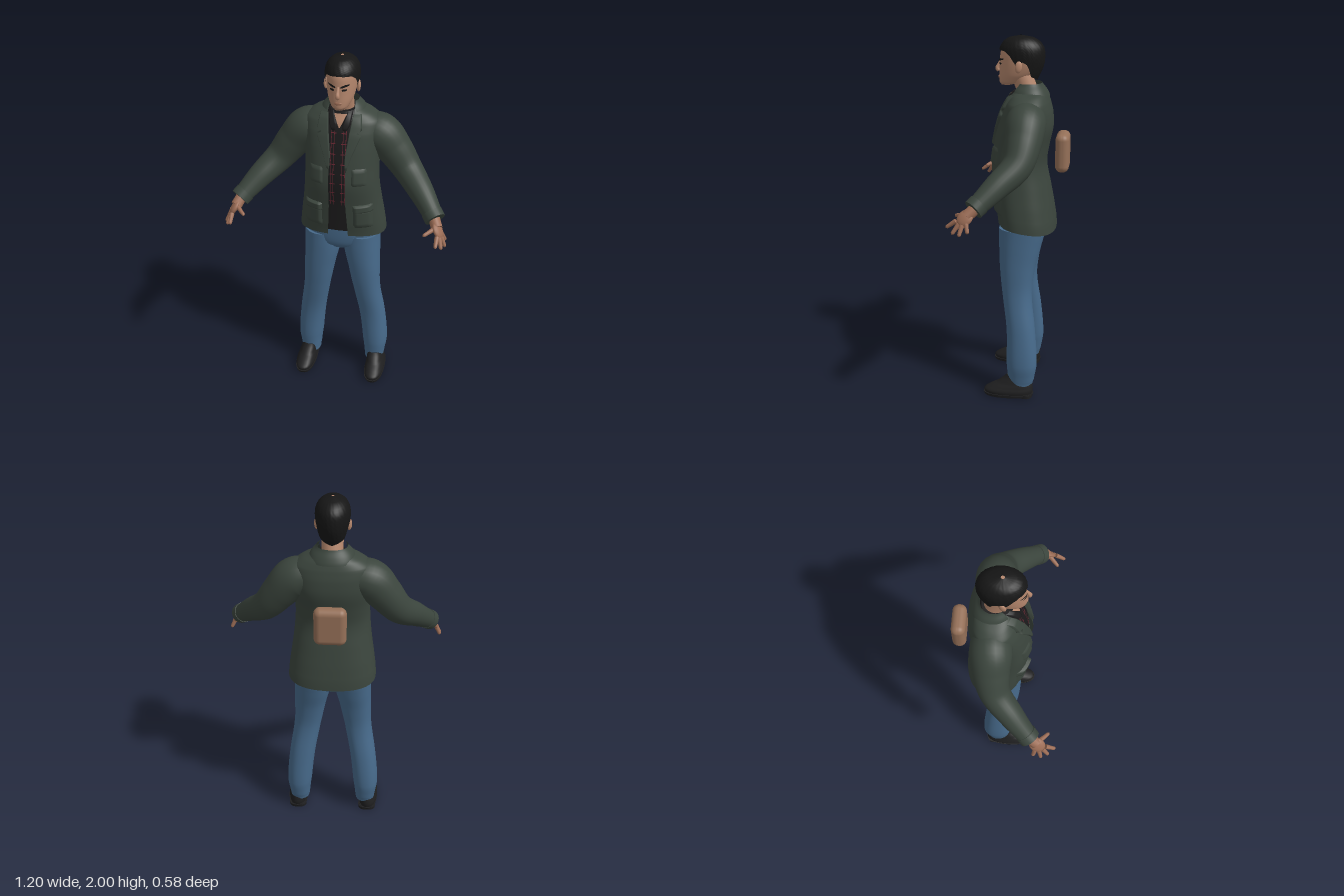
import * as THREE from 'three';
import { RoundedBoxGeometry } from 'three/addons/geometries/RoundedBoxGeometry.js';

const V = (x, y, z) => new THREE.Vector3(x, y, z);
const mat = (name, color, side = THREE.FrontSide) => {
  const m = new THREE.MeshStandardMaterial({ color, side });
  m.name = name;
  return m;
};

// Linear lookup in a table sorted by its first column
function at(rows, k) {
  let i = 0;
  while (i < rows.length - 2 && rows[i + 1][0] < k) i++;
  const a = rows[i], b = rows[i + 1];
  const t = THREE.MathUtils.clamp((k - a[0]) / (b[0] - a[0]), 0, 1);
  return a.map((v, c) => v + (b[c] - v) * t);
}

// Catmull-Rom subdivision of profile rows
function dense(rows, n = 5) {
  const out = [];
  for (let i = 0; i < rows.length - 1; i++) {
    const [p, a, b, q] = [i - 1, i, i + 1, i + 2].map(j => rows[THREE.MathUtils.clamp(j, 0, rows.length - 1)]);
    for (let s = 0; s < n; s++) {
      const t = s / n;
      out.push(a.map((v, c) => {
        if (c === 0) return v + (b[0] - v) * t;
        const k3 = 3 * (v - b[c]) + q[c] - p[c], k2 = 2 * p[c] - 5 * v + 4 * b[c] - q[c];
        return v + 0.5 * t * (b[c] - p[c] + t * (k2 + t * k3));
      }));
    }
  }
  out.push(rows[rows.length - 1]);
  return out;
}

// Surface through rings of points, with flat end caps when closed
function skin(rings, closed = true) {
  const pos = [], idx = [], n = rings[0].length, m = closed ? n : n - 1;
  rings.forEach(r => r.forEach(p => pos.push(p.x, p.y, p.z)));
  for (let i = 0; i < rings.length - 1; i++) for (let j = 0; j < m; j++) {
    const a = i * n + j, b = i * n + (j + 1) % n;
    idx.push(a, b, a + n, b, b + n, a + n);
  }
  if (closed) [rings[0], rings[rings.length - 1]].forEach((r, e) => {
    const s = pos.length / 3, c = V(0, 0, 0);
    r.forEach(p => { pos.push(p.x, p.y, p.z); c.addScaledVector(p, 1 / n); });
    pos.push(c.x, c.y, c.z);
    for (let j = 0; j < n; j++) {
      const k = s + (j + 1) % n;
      idx.push(...(e ? [s + j, k, s + n] : [k, s + j, s + n]));
    }
  });
  const g = new THREE.BufferGeometry();
  g.setAttribute('position', new THREE.Float32BufferAttribute(pos, 3));
  g.setIndex(idx);
  g.computeVertexNormals();
  return g;
}

// Profile row: [y, centre x, half width, front z, back z, half gap]
const pw = (v, e) => Math.sign(v) * Math.abs(v) ** e;
const ringPoint = ([y, cx, rx, f, b], t, e) =>
  V(cx + rx * pw(Math.sin(t), e), y, (f + b) / 2 + (f - b) / 2 * pw(Math.cos(t), e));

const loft = (rows, e = 1, n = 32) => skin(rows.map(r =>
  Array.from({ length: n }, (_, j) => ringPoint(r, j / n * Math.PI * 2, e))));

// Loft left open at the front by the row's gap
const openLoft = (rows, e, n = 56) => skin(rows.map(r => {
  const t0 = Math.asin(Math.min(0.96, (r[5] / r[2]) ** (1 / e)));
  return Array.from({ length: n + 1 }, (_, j) => ringPoint(r, t0 + (2 * Math.PI - 2 * t0) * j / n, e));
}), false);

// Tapered tube; points are [x, y, z, radius]
function limb(pts, n = 20, steps = 24) {
  const curve = new THREE.CatmullRomCurve3(pts.map(p => V(p[0], p[1], p[2])));
  const radii = dense(pts.map((p, i) => [i, p[3]]), 8);
  const rings = [];
  for (let i = 0; i <= steps; i++) {
    const u = i / steps, c = curve.getPoint(u), t = curve.getTangent(u);
    const a = V(0, 0.3, 1).cross(t).normalize(), b = t.clone().cross(a);
    const r = at(radii, u * (pts.length - 1))[1];
    rings.push(Array.from({ length: n }, (_, j) => {
      const w = j / n * Math.PI * 2;
      return c.clone().addScaledVector(a, r * Math.cos(w)).addScaledVector(b, r * Math.sin(w));
    }));
  }
  return skin(rings);
}

// Panel laid on the front of a profile; outline rows are [y, x0, x1], bottom first
function panel(prof, e, outline, off, puffed = false, n = 8) {
  const rings = [], y0 = outline[0][0], y1 = outline[outline.length - 1][0];
  for (let i = 0; i <= n; i++) {
    const [y, xa, xb] = at(outline, y0 + (y1 - y0) * i / n), [, , rx, f, b] = at(prof, y);
    rings.push(Array.from({ length: n + 1 }, (_, j) => {
      const x = Math.min(xa, xb) + Math.abs(xb - xa) * j / n;
      const s = Math.min(0.999, Math.abs(x) / rx) ** (1 / e);
      const edge = i === 0 || j === 0 || i === n || j === n;
      return V(x, y, (f + b) / 2 + (f - b) / 2 * Math.sqrt(1 - s * s) ** e + (puffed && edge ? -0.002 : off));
    }));
  }
  return skin(rings, false);
}

export function createModel() {
  const root = new THREE.Group();
  root.name = 'standingMan';
  const D = THREE.DoubleSide;
  const jacket = mat('jacketGreen', 0x3b453d, D), jeans = mat('denimBlue', 0x476a8b), hair = mat('hairBlack', 0x161616, D);
  const face = mat('faceSkin', 0xb5876d), hand = mat('handSkin', 0x9c6d56), pack = mat('packBrown', 0x957058);
  const shoe = mat('shoeBlack', 0x1f1f20), shirt = mat('shirtBlack', 0x1c1b1c, D), red = mat('plaidRed', 0x6b2833, D);
  const add = (name, geo, m) => {
    const o = new THREE.Mesh(geo, m);
    o.name = name;
    root.add(o);
    return o;
  };

  // Jacket body, hem lower at the back
  const E = 0.82;
  const coat = dense([[0.98, 0, 0.24, 0.095, -0.225, 0.055], [1.06, 0, 0.232, 0.105, -0.215, 0.052],
    [1.2, 0, 0.212, 0.118, -0.188, 0.045], [1.32, 0, 0.2, 0.13, -0.167, 0.045], [1.42, 0, 0.198, 0.118, -0.18, 0.045],
    [1.52, 0, 0.205, 0.098, -0.2, 0.045], [1.6, 0, 0.208, 0.075, -0.196, 0.055], [1.655, 0, 0.2, 0.05, -0.182, 0.065],
    [1.69, 0, 0.155, 0.03, -0.168, 0.07], [1.72, 0, 0.095, 0.012, -0.15, 0.068], [1.735, 0, 0.078, 0.0, -0.135, 0.065]]);
  const body = openLoft(coat, E), bp = body.attributes.position;
  for (let i = 0; i < bp.count; i++)
    bp.setY(i, bp.getY(i) + (bp.getZ(i) + 0.065) * 0.14 * Math.max(0, 1 - (bp.getY(i) - 0.98) / 0.2));
  body.computeVertexNormals();
  add('jacketBody', body, jacket);
  add('jacketCollar', openLoft(dense([[1.685, 0, 0.125, 0.035, -0.18, 0.085], [1.72, 0, 0.108, 0.02, -0.163, 0.075],
    [1.755, 0, 0.08, 0.0, -0.138, 0.066]]), 0.9), jacket);

  // Shirt inside the jacket, with plaid strips
  const top = dense([[1.03, 0, 0.2, 0.092, -0.18], [1.2, 0, 0.19, 0.1, -0.165], [1.32, 0, 0.18, 0.108, -0.15],
    [1.42, 0, 0.178, 0.1, -0.16], [1.52, 0, 0.18, 0.082, -0.18], [1.6, 0, 0.17, 0.062, -0.175],
    [1.66, 0, 0.13, 0.042, -0.155], [1.71, 0, 0.07, 0.016, -0.13]]);
  add('shirt', loft(top, E), shirt);
  add('openNeck', panel(top, E, [[1.635, -0.003, 0.003], [1.7, -0.034, 0.034]], 0.006), face);
  for (const s of [-1, 1]) {
    add('shirtCollar', panel(top, E, [[1.615, s * 0.02, s * 0.035], [1.65, s * 0.012, s * 0.058], [1.71, s * 0.036, s * 0.062]], 0.013, true), shirt);
    for (const x of [0.022, 0.037])
      add('plaidStripe', panel(top, E, [[1.2, s * x, s * (x + 0.003)], [1.62, s * x, s * (x + 0.003)]], 0.003, false, 14), red);
    for (let y = 1.22; y < 1.62; y += 0.055)
      add('plaidBand', panel(top, E, [[y, s * 0.014, s * 0.043], [y + 0.005, s * 0.014, s * 0.043]], 0.004), red);
  }

  // Head, neck, face
  const skull = dense([[1.742, 0, 0.026, 0.08, 0.02], [1.757, 0, 0.046, 0.09, -0.03], [1.79, 0, 0.064, 0.091, -0.08],
    [1.83, 0, 0.074, 0.089, -0.11], [1.87, 0, 0.079, 0.087, -0.125], [1.92, 0, 0.08, 0.081, -0.13],
    [1.96, 0, 0.068, 0.055, -0.112], [1.985, 0, 0.04, 0.01, -0.08]]);
  add('head', loft(skull), face);
  add('neck', limb([[0, 1.64, -0.075, 0.062], [0, 1.71, -0.06, 0.056], [0, 1.79, -0.03, 0.056]]), face);
  add('nose', limb([[0, 1.872, 0.08, 0.007], [0, 1.845, 0.094, 0.009], [0, 1.826, 0.101, 0.012], [0, 1.814, 0.092, 0.01]], 10, 10), face);
  add('lips', panel(skull, 1, [[1.776, -0.012, 0.012], [1.784, -0.024, 0.024], [1.791, -0.01, 0.01]], 0.004, true), hand);
  for (const s of [-1, 1]) {
    add('eye', panel(skull, 1, [[1.85, s * 0.024, s * 0.036], [1.855, s * 0.018, s * 0.045], [1.861, s * 0.024, s * 0.04]], 0.003), hair);
    add('eyebrow', panel(skull, 1, [[1.868, s * 0.012, s * 0.024], [1.876, s * 0.014, s * 0.052], [1.883, s * 0.036, s * 0.056]], 0.004), hair);
    const ear = add('ear', new THREE.SphereGeometry(1, 14, 10), face);
    ear.scale.set(0.011, 0.032, 0.019);
    ear.position.set(s * 0.084, 1.845, -0.022);
    ear.rotation.set(-0.15, s * 0.3, 0);
  }

  // Hair with a hairline that varies around the head
  const cap = dense([[1.76, 0, 0.058, 0.03, -0.108], [1.8, 0, 0.074, 0.06, -0.128], [1.85, 0, 0.083, 0.088, -0.147],
    [1.9, 0, 0.089, 0.09, -0.152], [1.94, 0, 0.086, 0.085, -0.146], [1.97, 0, 0.071, 0.066, -0.124],
    [1.99, 0, 0.046, 0.035, -0.09], [2, 0, 0.008, -0.015, -0.035]]);
  const hairline = [[0, 1.928], [45, 1.922], [62, 1.9], [75, 1.865], [84, 1.83], [94, 1.872], [108, 1.855], [124, 1.79], [180, 1.765]];
  const locks = [];
  for (let i = 0; i <= 20; i++) locks.push(Array.from({ length: 64 }, (_, j) => {
    const t = j / 64 * Math.PI * 2, deg = Math.min(t, 2 * Math.PI - t) * 180 / Math.PI;
    const p = ringPoint(at(cap, THREE.MathUtils.lerp(at(hairline, deg)[1], 2, i / 20)), t, 1);
    const k = 1 + 0.016 * Math.sin(j * 2.4 + i * 1.7) * Math.sin(i * 1.3);
    return V(p.x * k, p.y, (p.z + 0.03) * k - 0.03);
  }));
  const hairGeo = skin(locks);
  hairGeo.setIndex([...hairGeo.index.array].slice(0, 20 * 64 * 6)); // no caps: the head fills it
  add('hair', hairGeo, hair);

  // Hips
  add('jeansHips', loft(dense([[0.885, 0, 0.09, 0.045, -0.13], [0.92, 0, 0.175, 0.075, -0.165], [0.97, 0, 0.212, 0.084, -0.18],
    [1.05, 0, 0.205, 0.086, -0.18], [1.12, 0, 0.19, 0.08, -0.165]]), 0.85), jeans);

  // Mirrored parts: lapels, pockets, sleeves, hands, legs, shoes
  for (const s of [-1, 1]) {
    add('lapel', panel(coat, E, [[1.42, s * 0.042, s * 0.05], [1.5, s * 0.04, s * 0.075], [1.6, s * 0.052, s * 0.118],
      [1.615, s * 0.054, s * 0.092], [1.63, s * 0.056, s * 0.118], [1.7, s * 0.066, s * 0.108]], 0.014, true, 20), jacket);
    add('chestPocket', panel(coat, E, [[1.33, s * 0.075, s * 0.155], [1.43, s * 0.075, s * 0.155]], 0.008, true), jacket);
    add('lowerPocket', panel(coat, E, [[1.06, s * 0.085, s * 0.19], [1.19, s * 0.085, s * 0.185]], 0.012, true), jacket);
    add('pocketFlap', panel(coat, E, [[1.165, s * 0.082, s * 0.19], [1.21, s * 0.082, s * 0.185]], 0.02, true), jacket);
    add('sleeve', limb([[s * 0.11, 1.585, -0.075, 0.095], [s * 0.195, 1.565, -0.072, 0.107], [s * 0.27, 1.485, -0.068, 0.096],
      [s * 0.348, 1.385, -0.045, 0.08], [s * 0.44, 1.3, 0.045, 0.066], [s * 0.528, 1.208, 0.145, 0.05]], 24, 36), jacket);
    add('cuff', limb([[s * 0.507, 1.23, 0.122, 0.056], [s * 0.53, 1.206, 0.148, 0.055]], 24, 4), jacket);

    // Hand: flattened palm, thumb and four fingers, each from knuckle to tip
    add('wrist', limb([[s * 0.52, 1.215, 0.135, 0.03], [s * 0.543, 1.175, 0.18, 0.031]], 12, 4), hand);
    const palm = add('palm', new THREE.SphereGeometry(1, 16, 12), hand);
    const long = V(s * 0.035, -0.07, 0.06).normalize(), out = long.clone().cross(V(s * -0.045, 0.025, 0.12)).normalize();
    palm.quaternion.setFromRotationMatrix(new THREE.Matrix4().makeBasis(out, long, out.clone().cross(long)));
    palm.scale.set(0.018, 0.048, 0.04);
    palm.position.set(s * 0.55, 1.168, 0.187);
    [[0.533, 1.178, 0.195, 0.48, 1.158, 0.247], [0.552, 1.152, 0.232, 0.55, 1.115, 0.284], [0.562, 1.14, 0.216, 0.579, 1.09, 0.25],
      [0.57, 1.138, 0.198, 0.596, 1.085, 0.212], [0.57, 1.145, 0.178, 0.592, 1.1, 0.168]].forEach(([a, b, c, d, e, f], i) => {
      const pts = [[0, 0.013], [0.5, 0.011], [0.9, 0.009], [1, 0.003]].map(([t, r]) =>
        [s * (a + (d - a) * t), b + (e - b) * t, c + (f - c) * t, r]);
      add(i ? 'finger' : 'thumb', limb(pts, 10, 12), hand);
    });

    const side = rows => dense(rows.map(([y, x, ...r]) => [y, s * x, ...r]));
    add('jeansLeg', loft(side([[0.065, 0.197, 0.056, 0.02, -0.115], [0.1, 0.197, 0.06, 0.022, -0.125], [0.2, 0.197, 0.072, 0.03, -0.14],
      [0.4, 0.178, 0.074, 0.032, -0.126], [0.6, 0.146, 0.077, 0.058, -0.104], [0.75, 0.128, 0.089, 0.074, -0.12],
      [0.88, 0.112, 0.102, 0.08, -0.152], [0.98, 0.108, 0.104, 0.08, -0.172]]), 0.9), jeans);
    add('shoe', loft(side([[0.012, 0.212, 0.054, 0.15, -0.115], [0.035, 0.212, 0.057, 0.157, -0.12], [0.055, 0.21, 0.053, 0.13, -0.12],
      [0.08, 0.207, 0.047, 0.08, -0.115], [0.125, 0.2, 0.042, 0.028, -0.1]]), 0.85), shoe);
    add('shoeSole', loft([[0.004, s * 0.212, 0.057, 0.155, -0.118], [0.02, s * 0.212, 0.06, 0.162, -0.124]], 0.85), shoe);
    add('shoeHeel', loft([[0, s * 0.21, 0.05, -0.04, -0.118], [0.018, s * 0.21, 0.052, -0.035, -0.12]], 0.8), shoe);
  }

  // Small pillow-shaped pack floating behind the back
  add('backPack', new RoundedBoxGeometry(0.17, 0.21, 0.074, 6, 0.034), pack).position.set(0, 1.385, -0.253);
  return root;
}
